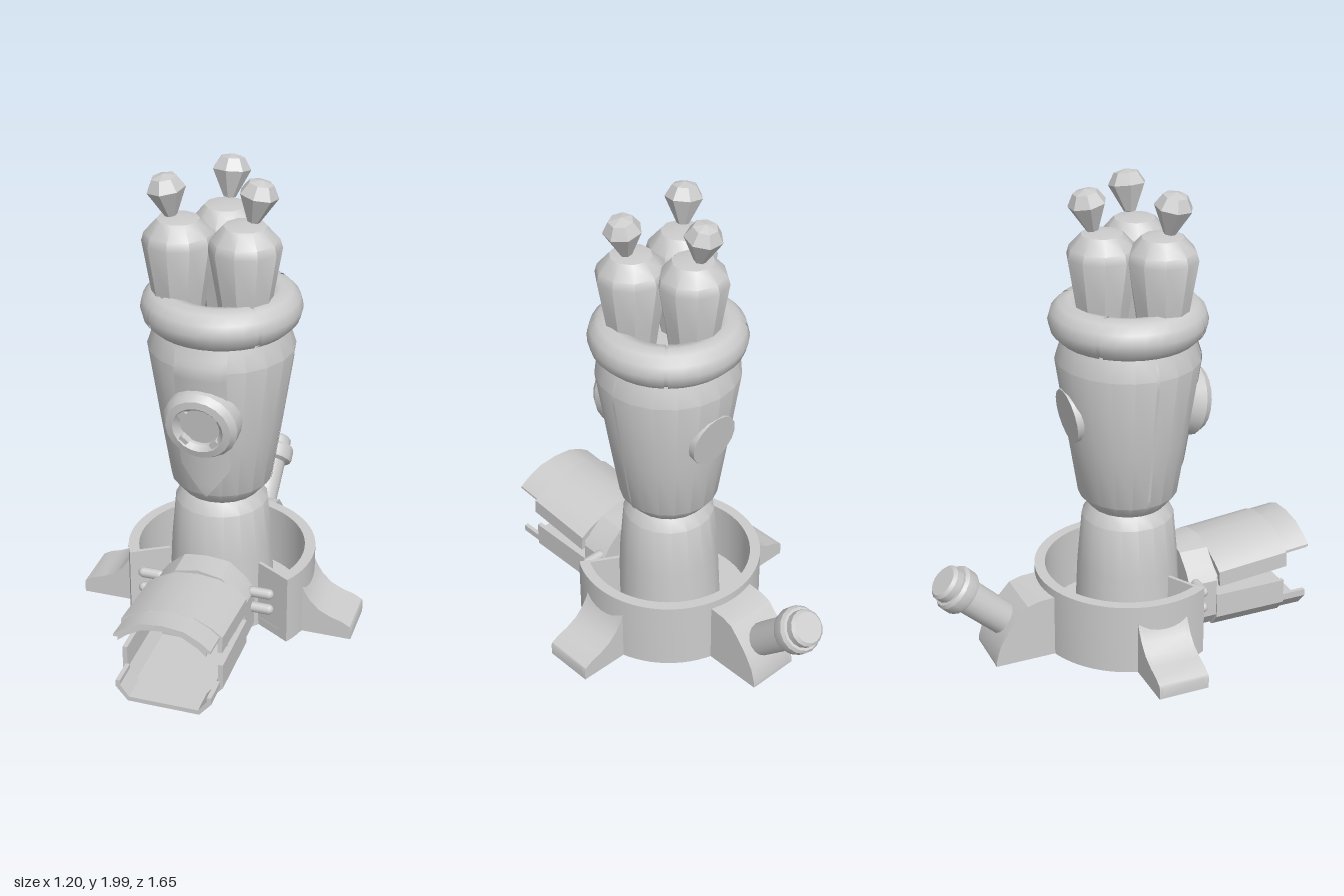
import * as THREE from 'three';
import { toCreasedNormals } from 'three/addons/utils/BufferGeometryUtils.js';

const CZ = 0.05; // z of the tower axis
const smooth = new THREE.MeshStandardMaterial({ color: 0xcccccc, side: THREE.DoubleSide });
const faceted = new THREE.MeshStandardMaterial({ color: 0xcccccc, flatShading: true });

function add(parent, name, geo, mat = smooth, x = 0, y = 0, z = 0) {
  const m = new THREE.Mesh(geo, mat);
  m.name = name;
  m.position.set(x, y, z);
  parent.add(m);
  return m;
}
const vec = pts => pts.map(p => new THREE.Vector2(p[0], p[1]));
const lathe = (pts, n) => toCreasedNormals(new THREE.LatheGeometry(vec(pts), n), 0.55);
const extrude = (shape, depth) => toCreasedNormals(
  new THREE.ExtrudeGeometry(shape, { depth, bevelEnabled: false, curveSegments: 24 }), 0.5);
const poly = pts => new THREE.Shape(vec(pts));
const mirrorPts = half => [...half, ...half.slice().reverse().filter(p => p[0] !== 0).map(p => [-p[0], p[1]])];

const bodyPts = [[0, 0.6], [0.16, 0.61], [0.21, 0.67], [0.25, 0.93], [0.3, 1.27], [0.27, 1.36], [0, 1.37]];
// radius of the upper body at a height
function bodyRadius(y) {
  for (let i = 1; i < bodyPts.length - 1; i++) {
    const [r0, y0] = bodyPts[i], [r1, y1] = bodyPts[i + 1];
    if (y >= y0 && y <= y1) return r0 + (r1 - r0) * (y - y0) / (y1 - y0);
  }
  return 0.2;
}

// thin panel wrapped around the body, its half width given by height
function bodyPanel(y0, y1, halfWidth, angle) {
  const g = new THREE.PlaneGeometry(2, 1, 8, 24), p = g.attributes.position;
  for (let i = 0; i < p.count; i++) {
    const y = y0 + (y1 - y0) * (p.getY(i) + 0.5), r = bodyRadius(y) + 0.004;
    const a = angle + p.getX(i) * halfWidth(y) / r;
    p.setXYZ(i, r * Math.sin(a), y, r * Math.cos(a) + CZ);
  }
  g.computeVertexNormals();
  return g;
}

// foot open at the bottom: a curved top skin between two side plates, reaching along +x
function hollowFoot(name, top, width) {
  const g = new THREE.Group(), t = 0.015;
  g.name = name;
  const x0 = top[0][0], x1 = top[top.length - 1][0];
  const side = poly([[x0, 0.01], [x1, 0.01], ...top.slice().reverse()]);
  for (const z of [-width / 2, width / 2 - t]) add(g, 'footSide', extrude(side, t), smooth, 0, 0, z);
  const inner = top.map(p => [p[0] - t, p[1] - t]).reverse();
  add(g, 'footTop', extrude(poly([...top, [x1, 0.01], [x1 - t, 0.01], ...inner]), width), smooth, 0, 0, -width / 2);
  return g;
}

export function createModel() {
  const root = new THREE.Group();
  root.name = 'tower';

  // neck and tapered body
  add(root, 'neck', lathe([[0.23, 0.01], [0.215, 0.34], [0.195, 0.56], [0.16, 0.61]], 18), smooth, 0, 0, CZ);
  add(root, 'body', lathe(bodyPts, 20), smooth, 0, 0, CZ);
  add(root, 'frontPanel', bodyPanel(0.665, 1.345, y => 0.11 * Math.min(1, (y - 0.66) / 0.15) , 0));
  for (const a of [-1, 1]) add(root, 'sideSeam', bodyPanel(0.62, 1.345, () => 0.006, a * Math.PI / 2));

  // rim in four padded sections over a thinner core
  const rim = new THREE.Group();
  rim.name = 'rim';
  rim.position.set(0, 1.435, CZ);
  root.add(rim);
  add(rim, 'rimCore', new THREE.TorusGeometry(0.24, 0.079, 12, 32).rotateX(Math.PI / 2));
  for (let i = 0; i < 4; i++) {
    const arc = new THREE.TorusGeometry(0.24, 0.085, 12, 8, Math.PI / 2 - 0.05);
    arc.rotateZ(Math.PI / 4 + 0.025 + i * Math.PI / 2).rotateX(Math.PI / 2);
    add(rim, 'rimSection', arc);
  }

  // porthole on the front and plain disc on the back, following the body slope
  const porthole = new THREE.Group();
  porthole.name = 'porthole';
  porthole.position.set(0, 1.035, 0.315);
  porthole.rotation.x = 0.16;
  root.add(porthole);
  const frame = [[0.085, 0], [0.085, 0.035], [0.105, 0.055], [0.135, 0.05], [0.155, 0.02], [0.155, -0.05]];
  add(porthole, 'portholeFrame', lathe(frame, 20).rotateX(Math.PI / 2));
  add(porthole, 'portholeGlass', new THREE.CylinderGeometry(0.09, 0.09, 0.04, 20).rotateX(Math.PI / 2));
  for (let i = 0; i < 4; i++) {
    const clip = new THREE.BoxGeometry(0.04, 0.022, 0.03).translate(0, 0.09, 0.035).rotateZ(Math.PI / 4 + i * Math.PI / 2);
    add(porthole, 'portholeClip', clip);
  }
  const disc = add(root, 'backDisc', new THREE.CylinderGeometry(0.115, 0.115, 0.03, 16).rotateX(Math.PI / 2), smooth, 0, 1.05, -0.205);
  disc.rotation.x = -0.15;

  // three bulbs with a floating gem above each
  const bulb = [[0.09, 1.36], [0.112, 1.52], [0.145, 1.72], [0.135, 1.755], [0.085, 1.81], [0, 1.825]];
  const gem = [[0, -0.09], [0.025, -0.085], [0.078, 0.025], [0.05, 0.072], [0, 0.085]];
  const spots = [[-0.15, 0.13, -0.185, 0.155], [0.12, 0.13, 0.165, 0.12], [-0.02, -0.07, -0.017, -0.125]];
  for (const [x, z, gx, gz] of spots) {
    add(root, 'bulb', lathe(bulb, 10), smooth, x, 0, z);
    const m = add(root, 'gem', new THREE.LatheGeometry(vec(gem), 7), faceted, gx, 1.912, gz);
    m.rotation.set((gz - z) * 3.5, 0, (x - gx) * 4);
  }

  // round base wall open at the front, with a floor and end plates
  const a0 = -Math.PI / 6, a1 = Math.PI * 7 / 6;
  const sector = (ro, ri) => new THREE.Shape().absarc(0, 0, ro, a0, a1, false).absarc(0, 0, ri, a1, a0, true);
  add(root, 'baseWall', extrude(sector(0.4, 0.355), 0.31).rotateX(-Math.PI / 2), smooth, 0, 0.01, CZ);
  add(root, 'baseFloor', extrude(sector(0.36, 0.22), 0.02).rotateX(-Math.PI / 2), smooth, 0, 0.03, CZ);
  for (const s of [-1, 1]) {
    const plate = add(root, 'baseEndPlate', new THREE.BoxGeometry(0.17, 0.31, 0.015), smooth,
      s * 0.315 * Math.cos(a0), 0.165, CZ + 0.315 * 0.5 - 0.01);
    plate.rotation.y = -s * Math.PI / 6;
  }

  // two side feet and a taller back foot
  const sideTop = [[0.37, 0.27], [0.395, 0.21], [0.42, 0.17], [0.46, 0.13], [0.51, 0.105], [0.56, 0.09], [0.595, 0.07], [0.6, 0.06]];
  for (const s of [0, 1]) {
    const foot = hollowFoot('sideFoot', sideTop, 0.22);
    foot.position.z = 0.042;
    foot.rotation.y = s * Math.PI;
    root.add(foot);
  }
  const backFoot = hollowFoot('backFoot', [[0.32, 0.285], [0.4, 0.28], [0.45, 0.265], [0.5, 0.21], [0.54, 0.16], [0.575, 0.1], [0.595, 0.03]], 0.23);
  backFoot.rotation.y = Math.PI / 2;
  root.add(backFoot);

  // slanted rear pipe with a stepped cap
  const pipe = [[0, -0.42], [0.07, -0.42], [0.073, -0.11], [0.095, -0.1], [0.1, -0.085], [0.1, -0.045],
    [0.09, -0.03], [0.078, -0.03], [0.078, 0.002], [0.065, 0.015], [0, 0.015]];
  const rear = add(root, 'rearPipe', lathe(pipe, 16), smooth, 0, 0.395, -0.765);
  rear.rotation.x = -0.82;

  // front collar with its back plate, round boss and side pins
  const outline = mirrorPts([[0.16, 0.02], [0.205, 0.08], [0.205, 0.25], [0.17, 0.3], [0.1, 0.36], [0, 0.38]]);
  const collar = poly(outline);
  collar.holes.push(new THREE.Path(vec(outline.map(p => [p[0] * 0.9, 0.2 + (p[1] - 0.2) * 0.9]))));
  add(root, 'collar', extrude(collar, 0.13), smooth, 0, 0, 0.25);
  add(root, 'collarPlate', extrude(poly(outline), 0.02), smooth, 0, 0, 0.27);
  add(root, 'collarBoss', new THREE.CylinderGeometry(0.07, 0.07, 0.03, 18).rotateX(Math.PI / 2), smooth, 0, 0.17, 0.29);
  for (const s of [-1, 1]) for (const y of [0.18, 0.255]) {
    add(root, 'pin', new THREE.CapsuleGeometry(0.022, 0.07, 4, 10).rotateZ(Math.PI / 2), smooth, s * 0.24, y, 0.28);
  }

  // lower trough: tall sides at the back, low lip at the front
  const trough = (w, h, t) => poly([[-w, h], [-w, 0.07], [-w + 0.05, 0.01], [w - 0.05, 0.01], [w, 0.07], [w, h],
    [w - t, h], [w - t, 0.08], [w - 0.055, 0.03], [-w + 0.055, 0.03], [-w + t, 0.08], [-w + t, h]]);
  add(root, 'troughBack', extrude(trough(0.212, 0.18, 0.02), 0.325), smooth, 0, 0, 0.38);
  add(root, 'troughLip', extrude(trough(0.2, 0.1, 0.018), 0.115), smooth, 0, 0, 0.705);

  // raised arched cover above the trough
  const cover = new THREE.Group();
  cover.name = 'cover';
  cover.position.set(0, 0.365, 0.38);
  cover.rotation.x = -0.085;
  root.add(cover);
  const arch = (w, drop) => {
    const outer = mirrorPts([[w, -drop], [w, -0.075], [w * 0.8, -0.045], [w * 0.45, -0.01], [0, 0]]);
    const inner = outer.map(p => [p[0] * 0.91, p[1] === -drop ? -drop : p[1] - 0.025]).reverse();
    return poly([...outer, ...inner]);
  };
  add(cover, 'coverBack', extrude(arch(0.212, 0.145), 0.325));
  add(cover, 'coverLip', extrude(arch(0.2, 0.085), 0.115), smooth, 0, 0, 0.325);

  return root;
}
